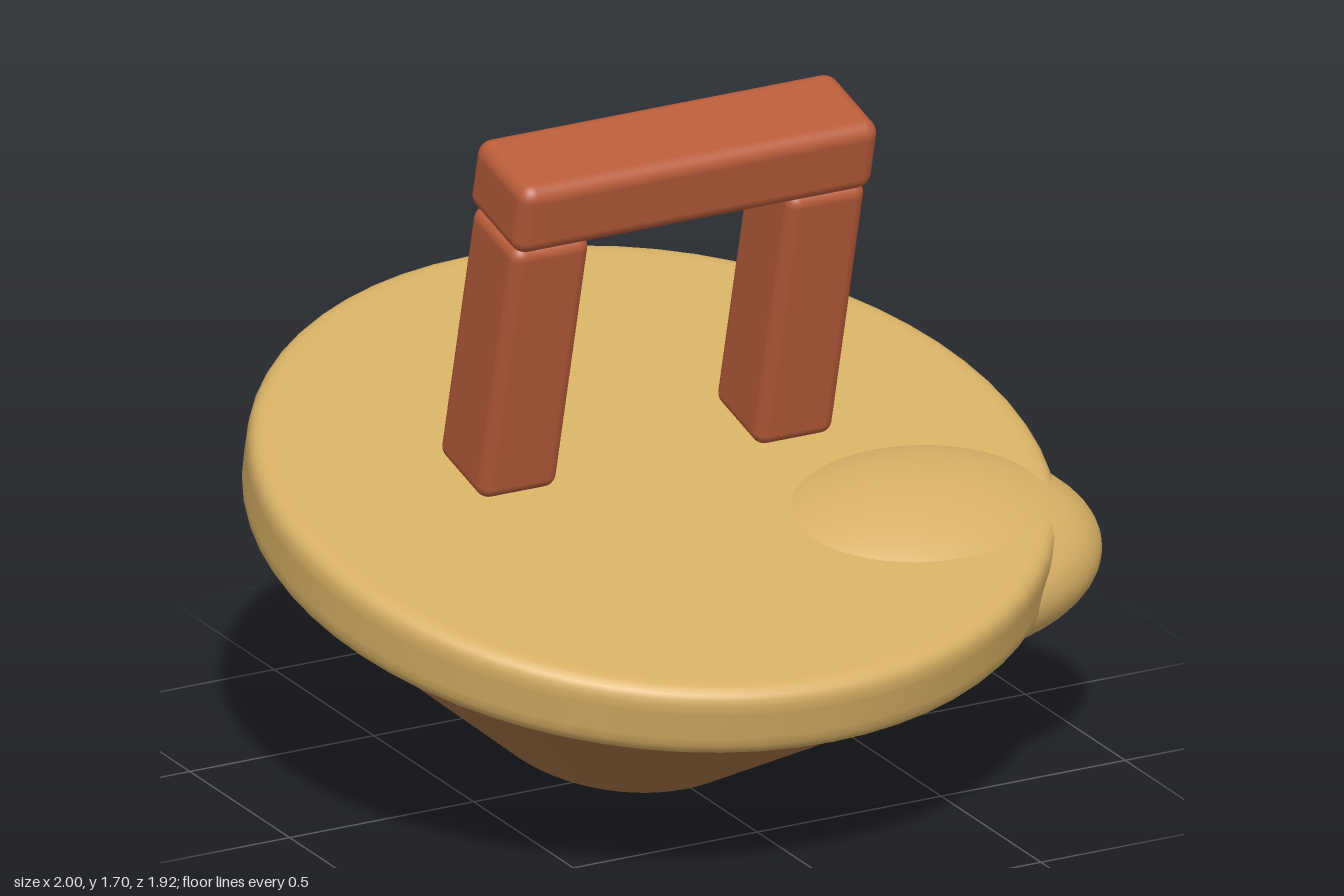
import * as THREE from 'three';
import { RoundedBoxGeometry } from 'three/addons/geometries/RoundedBoxGeometry.js';

const mat = (name, color) => {
  const m = new THREE.MeshStandardMaterial({ color });
  m.name = name;
  return m;
};

// Closed lathe from corner points [radius, height], each inner corner rounded by `bevel`
function roundedLathe(corners, bevel, segments = 64) {
  const pts = corners.map(([r, y]) => new THREE.Vector2(r, y));
  const profile = [pts[0]];
  for (let i = 1; i < pts.length - 1; i++) {
    const p = pts[i];
    const toward = (q, d) => p.clone().add(q.clone().sub(p).setLength(d));
    const a = toward(pts[i - 1], bevel), b = toward(pts[i + 1], bevel);
    profile.push(toward(pts[i - 1], bevel * 1.1));
    profile.push(...new THREE.QuadraticBezierCurve(a, p, b).getPoints(6));
    profile.push(toward(pts[i + 1], bevel * 1.1));
  }
  profile.push(pts[pts.length - 1]);
  return new THREE.LatheGeometry(profile, segments);
}

export function createModel() {
  const tan = mat('tan', 0xd6af64);
  const brown = mat('brown', 0xa47346);
  const red = mat('brickRed', 0xb85c3a);

  // Everything leans forward together, pivoting on the middle of the disc
  const model = new THREE.Group();
  model.name = 'model';
  const body = new THREE.Group();
  body.name = 'tiltedBody';
  body.position.set(-0.02, 0.69, 0);
  body.rotation.x = THREE.MathUtils.degToRad(14);
  model.add(body);

  const add = (name, geometry, material, x = 0, y = 0, z = 0) => {
    const mesh = new THREE.Mesh(geometry, material);
    mesh.name = name;
    mesh.position.set(x, y, z);
    body.add(mesh);
    return mesh;
  };

  // Tapered base under a flat disc
  add('taperedBase', roundedLathe([[0, -0.63], [0.325, -0.63], [0.932, -0.09], [0, -0.09]], 0.02), brown);
  add('disc', roundedLathe([[0, -0.095], [0.977, -0.095], [0.977, 0.095], [0, 0.095]], 0.055), tan);

  // Flattened spout lobe breaking through the rim
  add('spout', new THREE.SphereGeometry(1, 48, 32), tan, 0.54, -0.049, 0.342).scale.set(0.48, 0.197, 0.355);

  // Arch handle: two posts and a crossbar
  for (const [name, side] of [['leftPost', 1], ['rightPost', -1]]) {
    add(name, new RoundedBoxGeometry(0.212, 0.72, 0.232, 4, 0.033), red, side * 0.375, 0.455, -0.1);
  }
  add('crossbar', new RoundedBoxGeometry(0.975, 0.19, 0.265, 4, 0.04), red, 0, 0.903, -0.1);

  return model;
}
